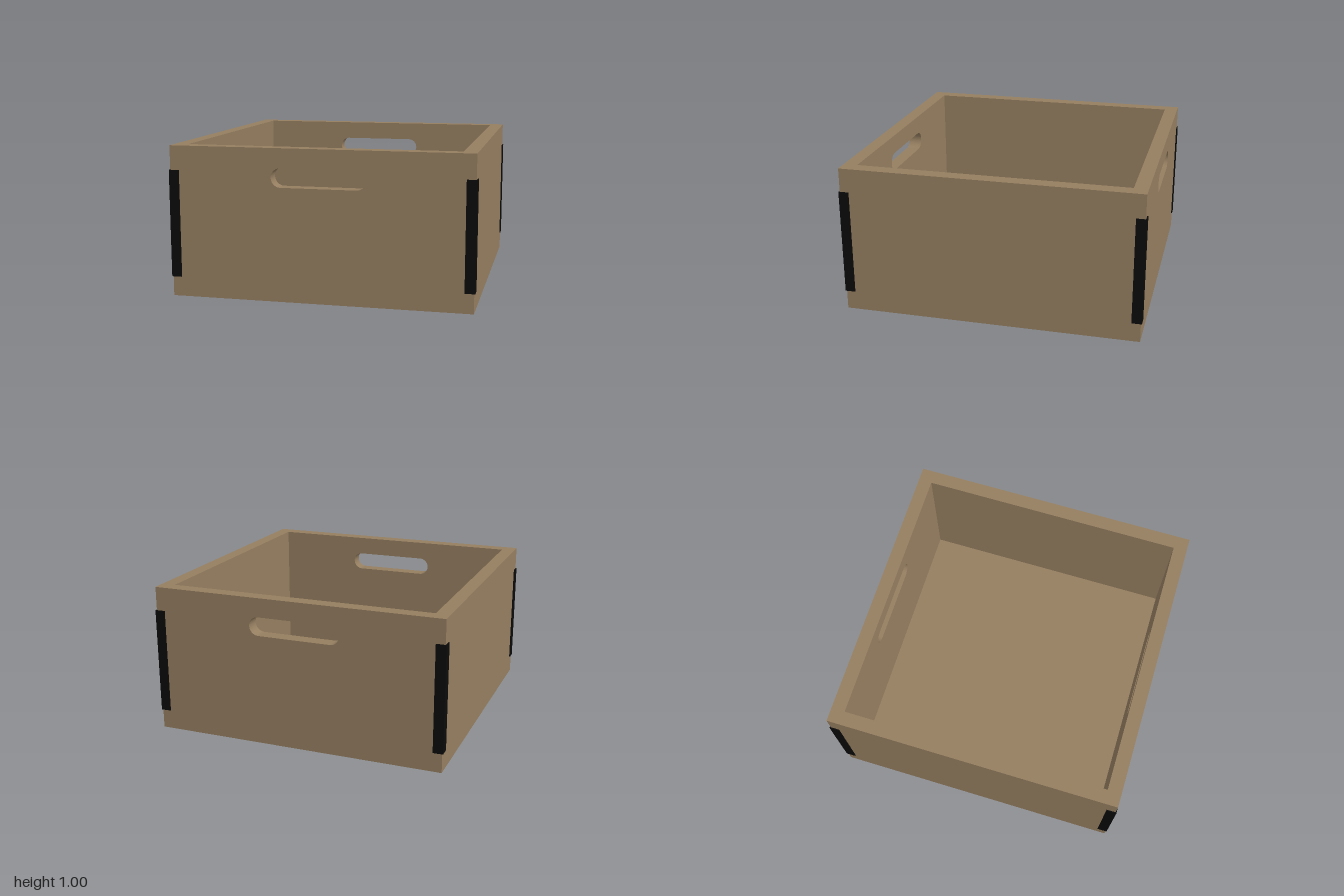
import * as THREE from 'three';

const OUT = 0.993, IN = 0.9, WALL = OUT - IN, HEIGHT = 1;

export function createModel() {
  const wood = new THREE.MeshStandardMaterial({ color: 0x957e60 });
  wood.name = 'wood';
  const black = new THREE.MeshStandardMaterial({ color: 0x0a0a0a });
  black.name = 'black';

  const model = new THREE.Group();
  model.name = 'crate';
  const add = (name, geometry, material, x = 0, y = 0, z = 0) => {
    const mesh = new THREE.Mesh(geometry, material);
    mesh.name = name;
    mesh.position.set(x, y, z);
    model.add(mesh);
    return mesh;
  };

  // Front and back panels with a rounded hand slot
  const panel = new THREE.Shape([
    new THREE.Vector2(-OUT, 0), new THREE.Vector2(OUT, 0),
    new THREE.Vector2(OUT, HEIGHT), new THREE.Vector2(-OUT, HEIGHT),
  ]);
  const r = 0.0625, slotX = 0.31 - r, slotY = 0.81;
  const slot = new THREE.Path();
  slot.absarc(slotX, slotY, r, -Math.PI / 2, Math.PI / 2, false);
  slot.absarc(-slotX, slotY, r, Math.PI / 2, Math.PI * 1.5, false);
  slot.closePath();
  panel.holes.push(slot);
  const panelGeo = new THREE.ExtrudeGeometry(panel, { depth: WALL, bevelEnabled: false, curveSegments: 16 });
  add('frontPanel', panelGeo, wood, 0, 0, IN);
  add('backPanel', panelGeo, wood, 0, 0, -OUT);

  // Side panels and floor fitted between them
  const sideGeo = new THREE.BoxGeometry(WALL, HEIGHT, IN * 2);
  add('leftPanel', sideGeo, wood, IN + WALL / 2, HEIGHT / 2, 0);
  add('rightPanel', sideGeo, wood, -IN - WALL / 2, HEIGHT / 2, 0);
  add('floor', new THREE.BoxGeometry(IN * 2, WALL, IN * 2), wood, 0, WALL / 2, 0);

  // L-shaped corner brackets, outer corner at the local origin
  const leg = 0.067, t = 0.007;
  const angle = new THREE.Shape([
    [0, 0], [-leg, 0], [-leg, -t], [-t, -t], [-t, -leg], [0, -leg],
  ].map(([x, y]) => new THREE.Vector2(x, y)));
  const bracketGeo = new THREE.ExtrudeGeometry(angle, { depth: 0.71, bevelEnabled: false });
  bracketGeo.rotateX(-Math.PI / 2); // extrude upwards; corner now points to +x, -z
  for (let i = 0; i < 4; i++) {
    const a = i * Math.PI / 2;
    const corner = new THREE.Vector3(1, 0.13, -1).applyAxisAngle(new THREE.Vector3(0, 1, 0), a);
    add('cornerBracket' + (i + 1), bracketGeo, black, corner.x, corner.y, corner.z).rotation.y = a;
  }
  return model;
}
